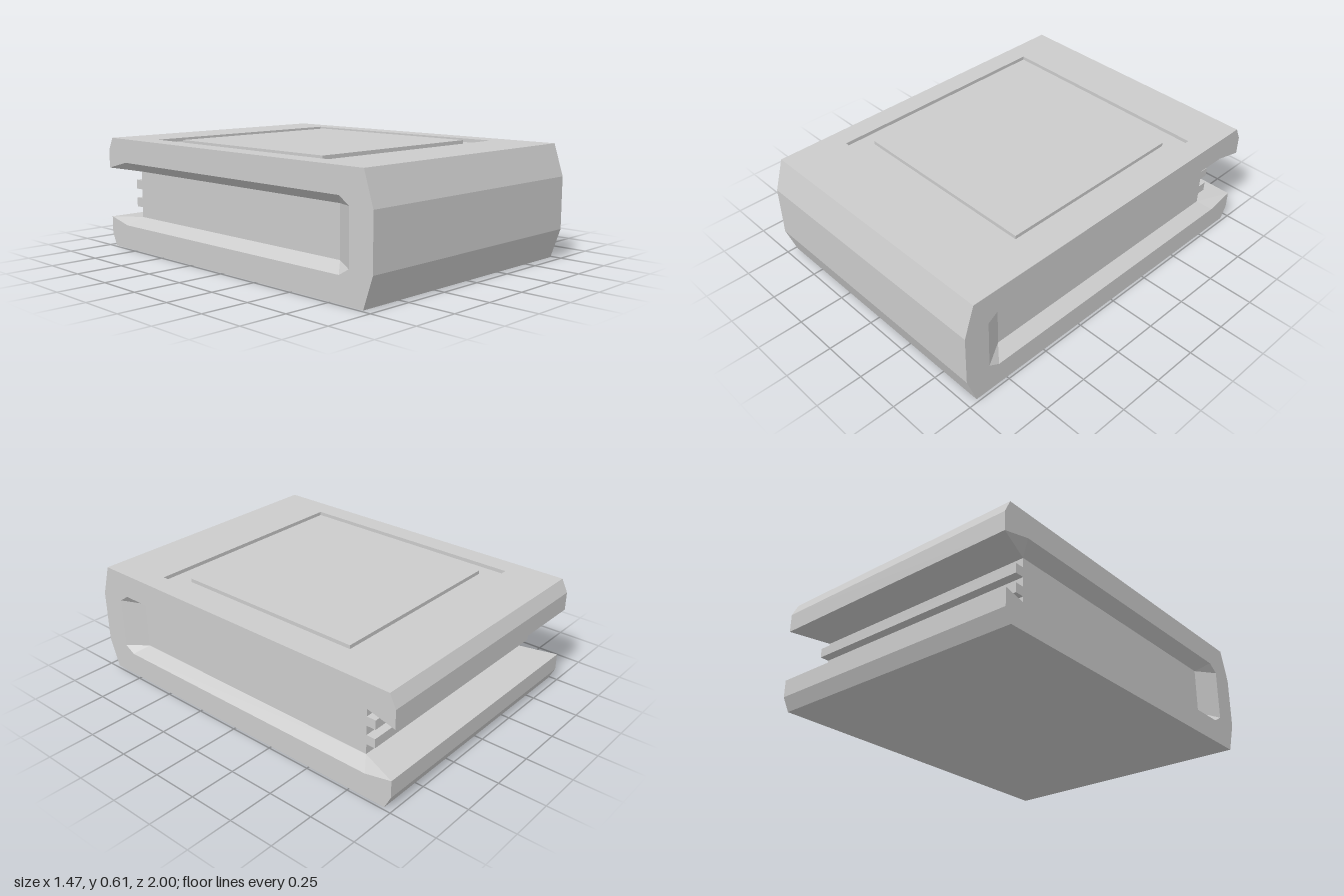
import * as THREE from 'three';

const HALF = 0.735;   // half width of the covers
const INNER = 0.665;  // half width of the page block
const TOP = 0.61, GROOVE = 0.02;

// Side outline as [z, y]: spine, top cover, side opening, bottom cover
const OUTLINE = [
  [0.945, 0], [1, 0.16], [1, 0.44], [0.945, TOP], [-0.965, TOP], [-1, 0.54],
  [-1, 0.44], [-0.84, 0.48], [0.8, 0.48], [0.86, 0.44],
  [0.86, 0.165], [0.8, 0.13], [-0.84, 0.13], [-0.99, 0.163],
  [-0.99, 0.07], [-0.955, 0],
];
const OPEN_START = 6, OPEN_END = 13, TOP_EDGE = 3;

// Inner rim of the bevel, one point for each outline point of the opening
const RIM_TOP = [-0.79, 0.43], RIM_BOTTOM = [-0.79, 0.175];
const FRONT_TOP = [0.74, 0.43], FRONT_BOTTOM = [0.74, 0.175];
const RIM = [RIM_TOP, RIM_TOP, FRONT_TOP, FRONT_TOP, FRONT_BOTTOM, FRONT_BOTTOM, RIM_BOTTOM, RIM_BOTTOM];

function buildCover() {
  const pos = [];
  const at = (x, [z, y]) => [x, y, z];
  const tri = (a, b, c, flip) => pos.push(...a, ...(flip ? c : b), ...(flip ? b : c));
  const quad = (a, b, c, d, flip) => { tri(a, b, c, flip); tri(a, c, d, flip); };
  const across = (p, q, xp, xq) => quad(at(xp, p), at(xq, q), at(-xq, q), at(-xp, p));

  // Outer skin, leaving out the top face
  OUTLINE.forEach((p, i) => {
    if (i === TOP_EDGE || (i >= OPEN_START && i < OPEN_END)) return;
    across(p, OUTLINE[(i + 1) % OUTLINE.length], HALF, HALF);
  });
  // Inner faces of the covers behind the pages
  across(OUTLINE[OPEN_START], RIM_TOP, HALF, INNER);
  across(RIM_BOTTOM, OUTLINE[OPEN_END], INNER, HALF);

  // Flat sides and the bevel around the opening
  const faces = THREE.ShapeUtils.triangulateShape(OUTLINE.map(([z, y]) => new THREE.Vector2(z, y)), []);
  for (const s of [1, -1]) {
    for (const [a, b, c] of faces) {
      tri(at(s * HALF, OUTLINE[a]), at(s * HALF, OUTLINE[b]), at(s * HALF, OUTLINE[c]), s > 0);
    }
    for (let i = OPEN_START; i < OPEN_END; i++) {
      const k = i - OPEN_START;
      quad(at(s * HALF, OUTLINE[i]), at(s * HALF, OUTLINE[i + 1]),
        at(s * INNER, RIM[k + 1]), at(s * INNER, RIM[k]), s < 0);
    }
  }
  const geo = new THREE.BufferGeometry();
  geo.setAttribute('position', new THREE.Float32BufferAttribute(pos, 3));
  geo.computeVertexNormals();
  return geo;
}

// Rectangle in the plane of the top cover (shape y = -z)
function rect(PathType, halfX, zBack, zFront) {
  return new PathType([[-halfX, -zFront], [halfX, -zFront], [halfX, -zBack], [-halfX, -zBack]]
    .map(([x, y]) => new THREE.Vector2(x, y)));
}

export function createModel() {
  const group = new THREE.Group();
  const mat = new THREE.MeshStandardMaterial({ color: 0xcccccc, flatShading: true, side: THREE.DoubleSide });
  const add = (name, geo) => {
    const mesh = new THREE.Mesh(geo, mat);
    mesh.name = name;
    group.add(mesh);
    return mesh;
  };
  const box = (name, halfX, y0, y1, z0, z1) =>
    add(name, new THREE.BoxGeometry(2 * halfX, y1 - y0, z1 - z0)).position.set(0, (y0 + y1) / 2, (z0 + z1) / 2);

  add('cover', buildCover());

  // Top face with a window, and the sunken floor with its raised panel
  const frame = rect(THREE.Shape, HALF, -0.965, 0.945);
  frame.holes.push(rect(THREE.Path, 0.62, -0.69, 0.62));
  const frameGeo = new THREE.ExtrudeGeometry(frame, { depth: GROOVE, bevelEnabled: false });
  add('coverTop', frameGeo.rotateX(-Math.PI / 2).translate(0, TOP - GROOVE, 0));
  box('grooveFloor', 0.63, TOP - GROOVE - 0.01, TOP - GROOVE, -0.7, 0.63);
  box('raisedPanel', 0.535, TOP - GROOVE, TOP, -0.58, 0.5);

  // Page block and its two ridges at the open edge
  box('pages', INNER, 0.175, 0.43, -0.79, 0.74);
  for (const y of [0.23, 0.33]) box('pageRidge', INNER, y, y + 0.05, -0.84, -0.78);

  return group;
}
